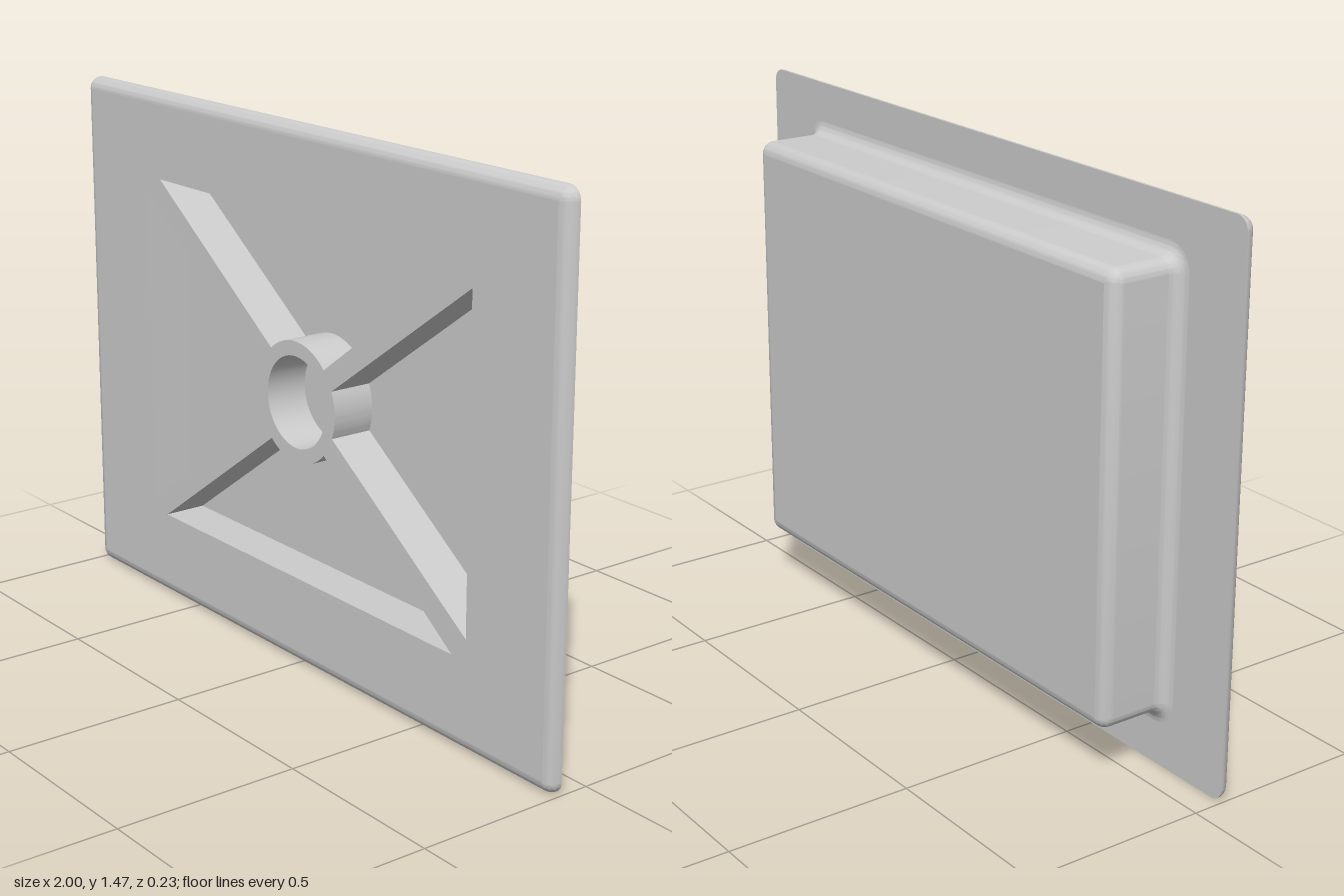
import * as THREE from 'three';
import { toCreasedNormals } from 'three/addons/utils/BufferGeometryUtils.js';

const FRONT = 0.115, BACK = -0.115, FLANGE = 0.08, FLOOR = -0.007;
const R = 0.035;                 // edge rounding and fillet radius
const CY = 0.735;                // height of the hub centre
const PLATE = { hx: 0.965, hy: 0.6975, cy: 0.7325 };  // half sizes without rounding
const BOX = { hx: 0.745, hy: 0.55, cy: CY };
const STEPS = 10;

// Rounded rectangle, counterclockwise seen from the front
function rectLoop({ hx, hy, cy }, r, z) {
  const pts = [];
  [[1, 1], [-1, 1], [-1, -1], [1, -1]].forEach(([sx, sy], q) => {
    for (let i = 0; i <= STEPS; i++) {
      const a = (q + i / STEPS) * Math.PI / 2;
      pts.push(new THREE.Vector3(sx * hx + r * Math.cos(a), cy + sy * hy + r * Math.sin(a), z));
    }
  });
  return pts;
}

// Skin through closed loops ordered from front to back
function loft(loops) {
  const n = loops[0].length, index = [];
  for (let i = 0; i < loops.length - 1; i++) {
    for (let j = 0; j < n; j++) {
      const a = i * n + j, b = i * n + (j + 1) % n;
      index.push(a, a + n, b, b, a + n, b + n);
    }
  }
  const geo = new THREE.BufferGeometry().setFromPoints(loops.flat());
  geo.setIndex(index);
  return toCreasedNormals(geo, Math.PI / 6);
}

// Points on a circle around the hub centre, angles in degrees
function arc(r, from, to, steps) {
  return Array.from({ length: steps + 1 }, (_, i) => {
    const a = THREE.MathUtils.degToRad(from + (to - from) * i / steps);
    return new THREE.Vector2(r * Math.cos(a), CY + r * Math.sin(a));
  });
}

export function createModel() {
  const group = new THREE.Group();
  const material = new THREE.MeshStandardMaterial({ color: 0xcccccc });
  const add = (name, geo, z = 0) => {
    const mesh = new THREE.Mesh(geo, material);
    mesh.name = name;
    mesh.position.z = z;
    group.add(mesh);
    return mesh;
  };

  // Pocket outlines, clockwise: two outer corners, then the arc around the hub
  const pocket = (x1, y1, x2, y2, from, to) => [
    new THREE.Vector2(x1, CY + y1), new THREE.Vector2(x2, CY + y2), ...arc(0.165, from, to, 16)];
  const recesses = {
    topPocket: pocket(-0.625, 0.49, 0.635, 0.49, 44, 131),
    rightPocket: pocket(-0.687, -0.454, -0.687, 0.444, 156.5, 207),
    bottomPocket: pocket(0.635, -0.49, -0.625, -0.49, 229, 316),
    leftPocket: pocket(0.687, 0.444, 0.687, -0.433, -21.5, 23.5),
    hubHole: arc(0.125, 360, 0, 48).slice(0, -1),
  };

  // Front face with the recess openings
  const flat = (loop) => new THREE.Shape(loop.map((p) => new THREE.Vector2(p.x, p.y)));
  const face = flat(rectLoop(PLATE, 0, 0).filter((p, i) => i % (STEPS + 1) === 0));
  face.holes = Object.values(recesses).map((pts) => new THREE.Path(pts));
  add('frontFace', new THREE.ShapeGeometry(face), FRONT);

  // Recess walls and floors
  for (const [name, pts] of Object.entries(recesses)) {
    const at = (z) => pts.map((p) => new THREE.Vector3(p.x, p.y, z));
    add(name + 'Walls', loft([at(FRONT), at(FLOOR)]));
    add(name + 'Floor', new THREE.ShapeGeometry(new THREE.Shape(pts)), FLOOR);
  }

  // Rounded rim, flange back, fillet and box sides
  const rim = [], fillet = [], backEdge = [];
  for (let i = 0; i <= STEPS; i++) {
    const a = i / STEPS * Math.PI / 2, s = R * Math.sin(a), c = R * Math.cos(a);
    rim.push(rectLoop(PLATE, s, FLANGE + c));
    fillet.push(rectLoop(BOX, 2 * R - s, FLANGE - R + c));
    backEdge.push(rectLoop(BOX, c, BACK + R - s));
  }
  add('plateRim', loft(rim));
  add('flangeBack', loft([rim[STEPS], fillet[0]]));
  add('boxSides', loft([...fillet, ...backEdge]));

  // Flat back of the box
  const back = add('boxBack', new THREE.PlaneGeometry(2 * BOX.hx, 2 * BOX.hy), BACK);
  back.position.y = BOX.cy;
  back.rotation.y = Math.PI;

  return group;
}
